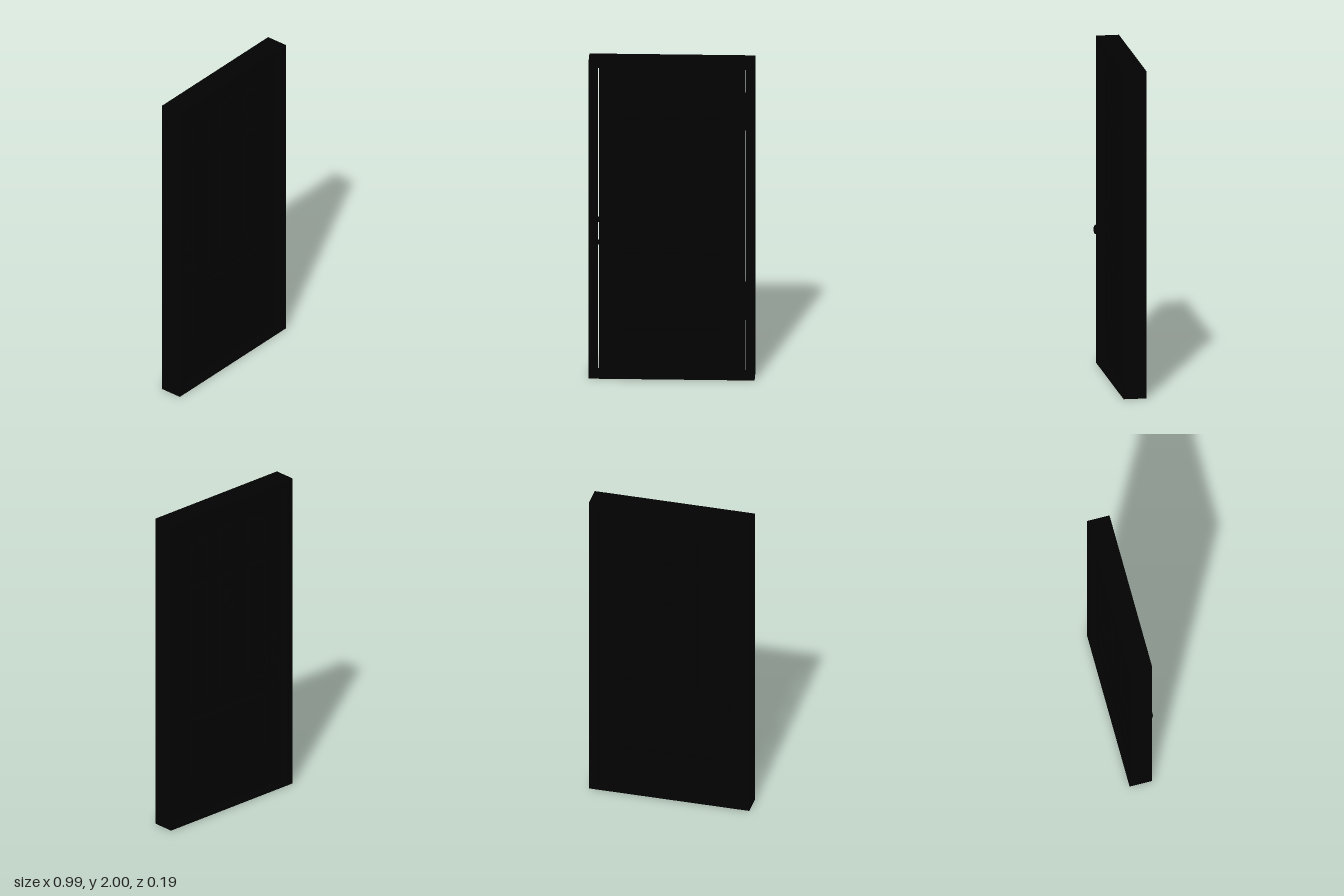
import * as THREE from 'three';

const FRONT = 0.01, BACK = -0.045;        // door faces
const MID = (FRONT + BACK) / 2;
const LOCK_X = -0.376;

export function createModel() {
  const model = new THREE.Group();
  const black = new THREE.MeshStandardMaterial({ color: 0x020202 });

  const add = (parent, name, geometry, x = 0, y = 0, z = 0) => {
    const mesh = new THREE.Mesh(geometry, black);
    mesh.name = name;
    mesh.position.set(x, y, z);
    parent.add(mesh);
    return mesh;
  };
  const group = (name, parent = model) => {
    const g = new THREE.Group();
    g.name = name;
    parent.add(g);
    return g;
  };
  const polygon = (points, Type = THREE.Shape) => new Type(points.map(p => new THREE.Vector2(...p)));
  const rect = (x0, x1, y0, y1) => [[x0, y0], [x1, y0], [x1, y1], [x0, y1]];
  // lathe profile [radius, height] turned so its height runs along +z
  const turned = (profile, segments = 28) =>
    new THREE.LatheGeometry(profile.map(p => new THREE.Vector2(...p)), segments).rotateX(Math.PI / 2);

  // Frame with jambs, head and threshold
  const frameShape = polygon(rect(-0.495, 0.495, 0, 2));
  frameShape.holes.push(polygon(rect(-0.445, 0.443, 0.02, 1.955), THREE.Path));
  add(model, 'doorFrame', new THREE.ExtrudeGeometry(frameShape, { depth: 0.138, bevelEnabled: false }), 0, 0, -0.081);

  // Panel outlines: one wide, three tall, three short with an arched top line
  const panels = [rect(-0.315, 0.315, 0.28, 0.66)];
  for (const cx of [-0.238, 0, 0.238]) {
    panels.push(rect(cx - 0.077, cx + 0.077, 0.76, 1.53));
    const top = x => 1.845 - 0.7 * Math.max(0, Math.abs(x) - 0.03) ** 2 - 0.02 * Math.abs(x);
    const outline = [[cx - 0.077, 1.605], [cx + 0.077, 1.605]];
    for (let i = 0; i <= 6; i++) {
      const x = cx + 0.077 - 0.154 * i / 6;
      outline.push([x, top(x)]);
    }
    panels.push(outline);
  }

  // Door leaf: a core, a pierced skin on each face and raised panel fields
  const door = group('door');
  const [x0, x1, y0, y1] = [-0.435, 0.438, 0.023, 1.952];
  const skinDepth = 0.012;
  add(door, 'doorCore', new THREE.BoxGeometry(x1 - x0, y1 - y0, FRONT - BACK - 2 * skinDepth),
    (x0 + x1) / 2, (y0 + y1) / 2, MID);
  const skinShape = polygon(rect(x0, x1, y0, y1));
  for (const p of panels) skinShape.holes.push(polygon(p, THREE.Path));
  const skin = new THREE.ExtrudeGeometry(skinShape, { depth: skinDepth, bevelEnabled: false });
  add(door, 'frontSkin', skin, 0, 0, FRONT - skinDepth);
  add(door, 'backSkin', skin, 0, 0, BACK);

  for (const outline of panels) {
    const xs = outline.map(p => p[0]), ys = outline.map(p => p[1]);
    const cx = (Math.min(...xs) + Math.max(...xs)) / 2, cy = (Math.min(...ys) + Math.max(...ys)) / 2;
    const inset = 0.024;
    const sx = 1 - 2 * inset / (Math.max(...xs) - Math.min(...xs));
    const sy = 1 - 2 * inset / (Math.max(...ys) - Math.min(...ys));
    const field = polygon(outline.map(([x, y]) => [(x - cx) * sx, (y - cy) * sy]));
    const geo = new THREE.ExtrudeGeometry(field, {
      depth: FRONT - BACK - 0.022, bevelThickness: 0.008, bevelSize: 0.014, bevelSegments: 1,
    });
    add(door, 'raisedPanel', geo, cx, cy, BACK + 0.011);
  }

  // Hinges on the front side
  for (const y of [1.675, 0.485]) {
    const hinge = group('hinge');
    for (let i = 0; i < 5; i++)
      add(hinge, 'knuckle', new THREE.CylinderGeometry(0.008, 0.008, 0.042, 14), 0.44, y + (i - 2) * 0.044, FRONT + 0.006);
    for (const s of [-1, 1])
      add(hinge, 'pinTip', new THREE.SphereGeometry(0.0075, 12, 8), 0.44, y + s * 0.109, FRONT + 0.006);
    add(hinge, 'leaf', new THREE.BoxGeometry(0.008, 0.22, 0.04), 0.44, y, FRONT - 0.018);
  }

  // Bolts crossing the gap into the frame
  add(model, 'deadBolt', new THREE.BoxGeometry(0.05, 0.03, 0.016), -0.44, 0.978, MID);
  add(model, 'latchBolt', new THREE.BoxGeometry(0.05, 0.025, 0.014), -0.44, 0.835, MID);

  // Front: round knob and thumb turn
  const rosette = [[0, 0], [0.035, 0], [0.035, 0.004], [0.028, 0.01], [0.014, 0.013], [0, 0.013]];
  const frontLock = group('frontLock');
  add(frontLock, 'knobRosette', turned(rosette), LOCK_X, 0.842, FRONT);
  add(frontLock, 'knob', turned([[0.011, 0], [0.011, 0.052], [0.016, 0.056], [0.026, 0.06], [0.029, 0.067],
    [0.026, 0.075], [0.016, 0.08], [0, 0.082]]), LOCK_X, 0.842, FRONT);
  add(frontLock, 'deadboltRosette', turned(rosette), LOCK_X, 0.977, FRONT);
  add(frontLock, 'thumbTurnStem', turned([[0.009, 0], [0.009, 0.045], [0, 0.045]]), LOCK_X, 0.977, FRONT);
  add(frontLock, 'thumbTurn', new THREE.SphereGeometry(1, 18, 12).scale(0.007, 0.018, 0.015), LOCK_X, 0.977, FRONT + 0.05);

  // Back: key cylinder, thumb latch and curved pull
  const backLock = group('backLock');
  const onBack = (mesh) => { mesh.rotation.y = Math.PI; return mesh; };
  onBack(add(backLock, 'keyCylinder', turned([[0, 0], [0.034, 0], [0.034, 0.006], [0.023, 0.022], [0.015, 0.024],
    [0, 0.024]]), LOCK_X, 0.977, BACK));
  const plate = new THREE.SphereGeometry(1, 20, 12);
  add(backLock, 'upperPlate', plate, LOCK_X, 0.85, BACK).scale.set(0.024, 0.052, 0.008);
  add(backLock, 'lowerPlate', plate, LOCK_X, 0.655, BACK).scale.set(0.019, 0.034, 0.008);
  const pullPath = new THREE.CatmullRomCurve3([
    [0.845, BACK], [0.84, -0.066], [0.805, -0.083], [0.765, -0.0865], [0.715, -0.079], [0.675, -0.06], [0.65, BACK],
  ].map(([y, z]) => new THREE.Vector3(LOCK_X, y, z)));
  add(backLock, 'pullHandle', new THREE.TubeGeometry(pullPath, 36, 0.0075, 12));
  add(backLock, 'thumbLatch', new THREE.BoxGeometry(0.02, 0.006, 0.034), LOCK_X, 0.866, BACK - 0.017).rotation.x = -0.2;

  // Knocker on the middle back panel
  const knocker = group('knocker');
  add(knocker, 'knockerPlate', plate, 0, 1.375, BACK).scale.set(0.032, 0.04, 0.014);
  add(knocker, 'knockerBoss', plate, 0, 1.375, BACK - 0.012).scale.set(0.014, 0.016, 0.014);
  const ring = add(knocker, 'knockerRing', new THREE.TorusGeometry(0.036, 0.0055, 10, 36), 0, 1.338, BACK - 0.018);
  ring.rotation.x = 0.12;
  add(knocker, 'strikeBall', plate, 0, 1.302, BACK - 0.013).scale.setScalar(0.011);

  return model;
}
